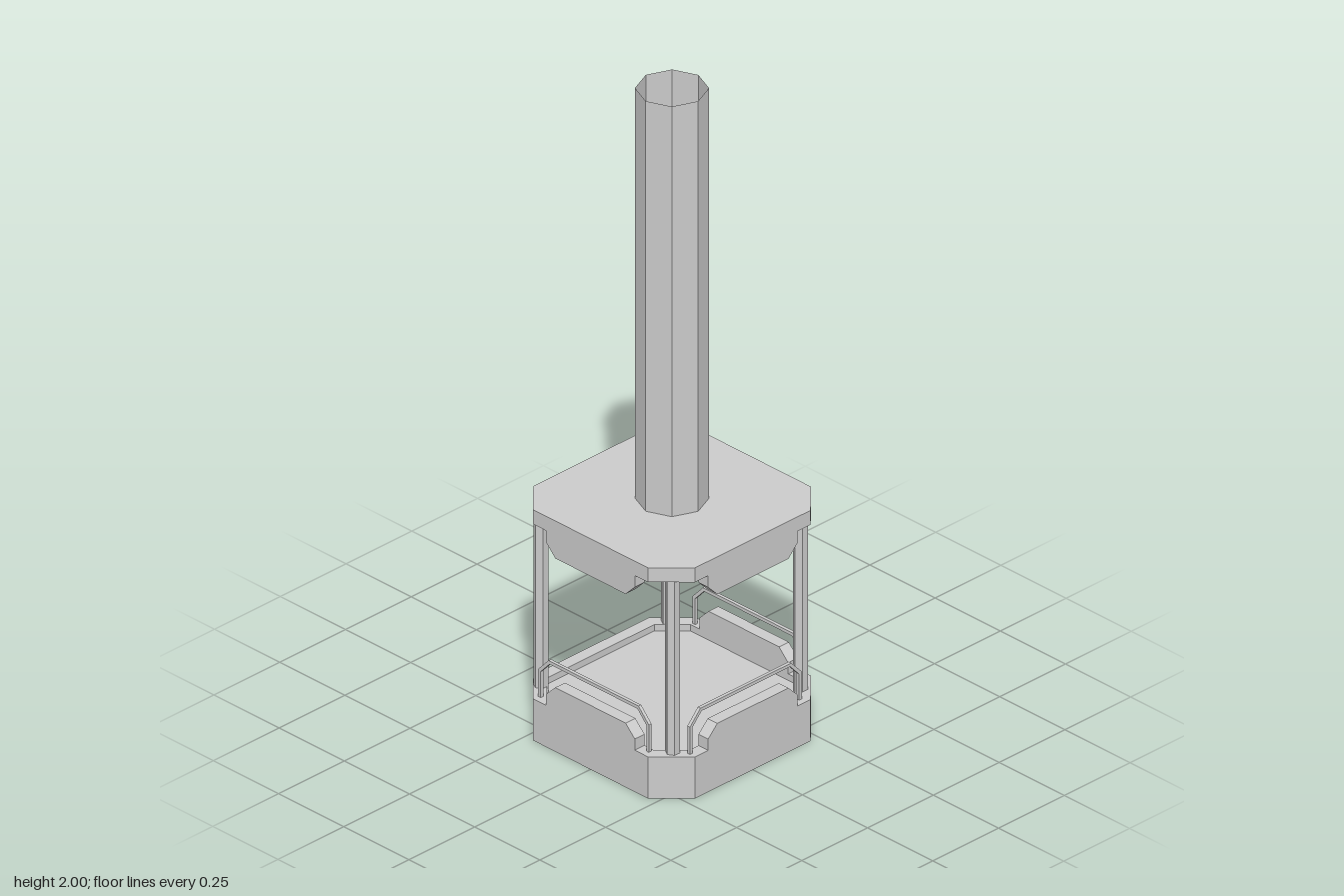
import * as THREE from 'three';

const material = new THREE.MeshStandardMaterial({ color: 0xcccccc, flatShading: true });
const openMaterial = new THREE.MeshStandardMaterial({ color: 0xcccccc, flatShading: true, side: THREE.DoubleSide });

const HALF = 0.31, CUT = 0.22, WALL = 0.037;

// Corner points of a square with cut corners
function octagon(half, cut) {
  return [[half, -cut], [half, cut], [cut, half], [-cut, half],
    [-half, cut], [-half, -cut], [-cut, -half], [cut, -half]].map(([x, y]) => new THREE.Vector2(x, y));
}

function add(parent, name, geometry, mat = material) {
  const mesh = new THREE.Mesh(geometry, mat);
  mesh.name = name;
  parent.add(mesh);
  return mesh;
}

// Flat octagonal slab between two heights, optionally hollowed into a rim
function slab(y0, y1, hollow) {
  const shape = new THREE.Shape(octagon(HALF, CUT));
  if (hollow) {
    const cut = CUT - WALL * Math.tan(Math.PI / 8);
    shape.holes.push(new THREE.Path(octagon(HALF - WALL, cut)));
  }
  return new THREE.ExtrudeGeometry(shape, { depth: y1 - y0, bevelEnabled: false })
    .rotateX(-Math.PI / 2).translate(0, y0, 0);
}

// Upright plate from an outline, with its back face at the given z
function upright(points, depth, z) {
  const shape = new THREE.Shape(points.map(([x, y]) => new THREE.Vector2(x, y)));
  return new THREE.ExtrudeGeometry(shape, { depth, bevelEnabled: false }).translate(0, 0, z);
}

// Wall panel with clipped corners, rising or hanging from its rim
function panel(rim, edge) {
  const mid = (rim + edge) / 2;
  return upright([[-0.17, rim], [0.17, rim], [0.17, mid], [0.135, edge],
    [-0.135, edge], [-0.17, mid]], WALL, HALF - WALL);
}

// Thin bent guard rail
function rail() {
  const a = [[-0.22, 0.12], [-0.22, 0.215], [-0.18, 0.258], [0.165, 0.258], [0.205, 0.215], [0.205, 0.12]];
  const b = [[0.195, 0.12], [0.195, 0.211], [0.161, 0.248], [-0.176, 0.248], [-0.21, 0.211], [-0.21, 0.12]];
  return upright([...a, ...b], 0.01, 0.281);
}

export function createModel() {
  const model = new THREE.Group();
  model.name = 'chimneyShelter';

  // Tray-shaped base and hood
  add(model, 'baseFloor', slab(0, 0.11, false));
  add(model, 'baseRim', slab(0.11, 0.13, true));
  add(model, 'hoodPlate', slab(0.7, 0.72, false));
  add(model, 'hoodRim', slab(0.675, 0.7, true));

  // Open eight-sided chimney
  add(model, 'chimney', new THREE.CylinderGeometry(0.1, 0.1, 1.28, 8, 1, true), openMaterial)
    .position.y = 1.36;

  // Corner posts
  for (const x of [-0.258, 0.248]) {
    for (const z of [-0.243, 0.243]) {
      add(model, 'cornerPost', new THREE.CylinderGeometry(0.021, 0.021, 0.6, 6)).position.set(x, 0.4, z);
    }
  }

  // Panels and rails on the front, the +x side and the back; the -x side is the entrance
  ['front', 'side', 'back'].forEach((name, i) => {
    const wall = new THREE.Group();
    wall.name = name + 'Wall';
    add(wall, 'lowerPanel', panel(0.13, 0.2));
    add(wall, 'upperPanel', panel(0.675, 0.603));
    add(wall, 'guardRail', rail());
    wall.rotation.y = i * Math.PI / 2;
    model.add(wall);
  });

  return model;
}
